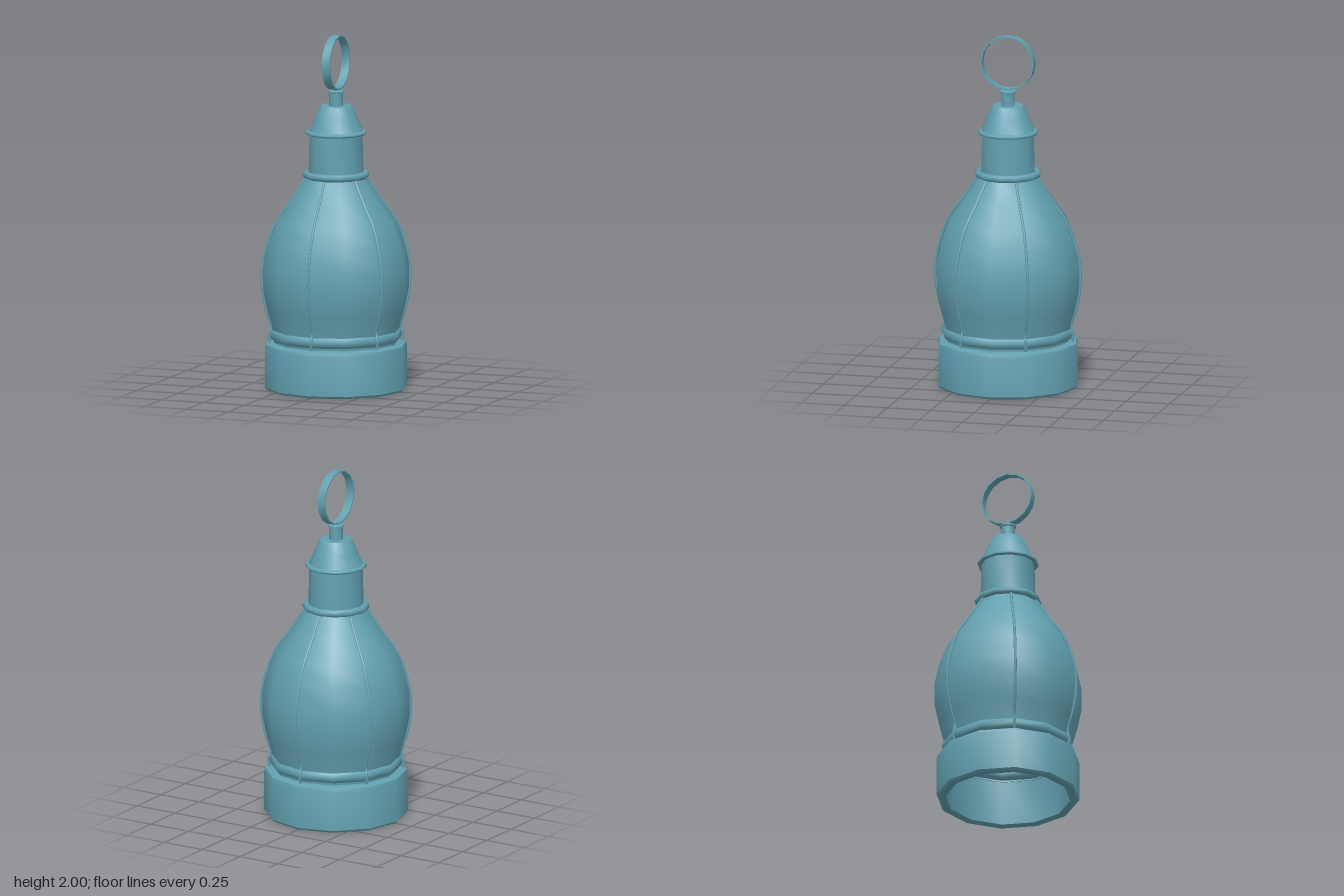
import * as THREE from 'three';
import { toCreasedNormals } from 'three/addons/utils/BufferGeometryUtils.js';

const SIDES = 12;

export function createModel() {
  const model = new THREE.Group();
  model.name = 'lantern';
  const paint = new THREE.MeshStandardMaterial({ color: 0x62a0b0, side: THREE.DoubleSide });

  const add = (name, geometry, parent = model) => {
    const mesh = new THREE.Mesh(geometry, paint);
    mesh.name = name;
    parent.add(mesh);
    return mesh;
  };
  // Twelve-sided turned part from [radius, height] pairs
  const turned = (name, points, sides = SIDES) => add(name, toCreasedNormals(
    new THREE.LatheGeometry(points.map(([r, y]) => new THREE.Vector2(r, y)), sides), 0.65));
  // Rounded horizontal moulding
  const moulding = (name, radius, tube, y, stretch = 1) => {
    const g = new THREE.TorusGeometry(radius, tube, 8, SIDES);
    g.rotateX(Math.PI / 2);
    g.scale(1, stretch, 1);
    g.translate(0, y, 0);
    return add(name, g);
  };

  // Hollow base, open underneath
  turned('base', [
    [0.35, 0.262], [0.35, 0.005], [0.36, 0], [0.392, 0], [0.402, 0.012],
    [0.402, 0.235], [0.396, 0.255], [0.38, 0.264], [0.345, 0.264],
  ]);

  // Bulging globe
  const globe = [
    [0.35, 0.262], [0.36, 0.345], [0.39, 0.45], [0.412, 0.56], [0.413, 0.7],
    [0.383, 0.83], [0.335, 0.95], [0.25, 1.07], [0.165, 1.2],
  ];
  turned('globe', globe);
  moulding('lowerMoulding', 0.345, 0.028, 0.308, 1.25);

  // Six wire ribs following the globe
  const ribs = new THREE.Group();
  ribs.name = 'ribs';
  model.add(ribs);
  const ribPath = new THREE.CatmullRomCurve3(
    [[0.368, 0.268], [0.376, 0.31], ...globe.slice(1)].map(([r, y]) => new THREE.Vector3(0, y, r + 0.003)));
  const ribGeometry = new THREE.TubeGeometry(ribPath, 28, 0.008, 6);
  for (let i = 0; i < 6; i++) add('rib', ribGeometry, ribs).rotation.y = i * Math.PI / 3;

  // Chimney neck and collar
  moulding('collar', 0.168, 0.021, 1.212);
  turned('neck', [[0.155, 1.2], [0.153, 1.3], [0.149, 1.45]]);

  // Conical hood with a thin brim
  moulding('brim', 0.163, 0.01, 1.449);
  turned('hood', [
    [0.145, 1.442], [0.163, 1.442], [0.163, 1.456], [0.152, 1.46],
    [0.122, 1.53], [0.097, 1.59], [0.088, 1.602], [0, 1.602],
  ]);

  // Stem, its cap and the small loop seat
  turned('stem', [[0.039, 1.6], [0.039, 1.672], [0.046, 1.675], [0.046, 1.684], [0.04, 1.688], [0, 1.688]]);
  const seat = new THREE.SphereGeometry(0.013, 10, 8);
  seat.translate(0, 1.695, 0);
  add('loopSeat', seat);

  // Flat band hanging loop, standing in the y-z plane
  const band = new THREE.LatheGeometry([
    [0.147, -0.024], [0.155, -0.024], [0.155, 0.024], [0.147, 0.024], [0.147, -0.024],
  ].map(([r, y]) => new THREE.Vector2(r, y)), 16);
  band.rotateZ(Math.PI / 2);
  band.translate(0, 1.845, 0);
  add('hangingLoop', toCreasedNormals(band, 0.65));

  return model;
}
